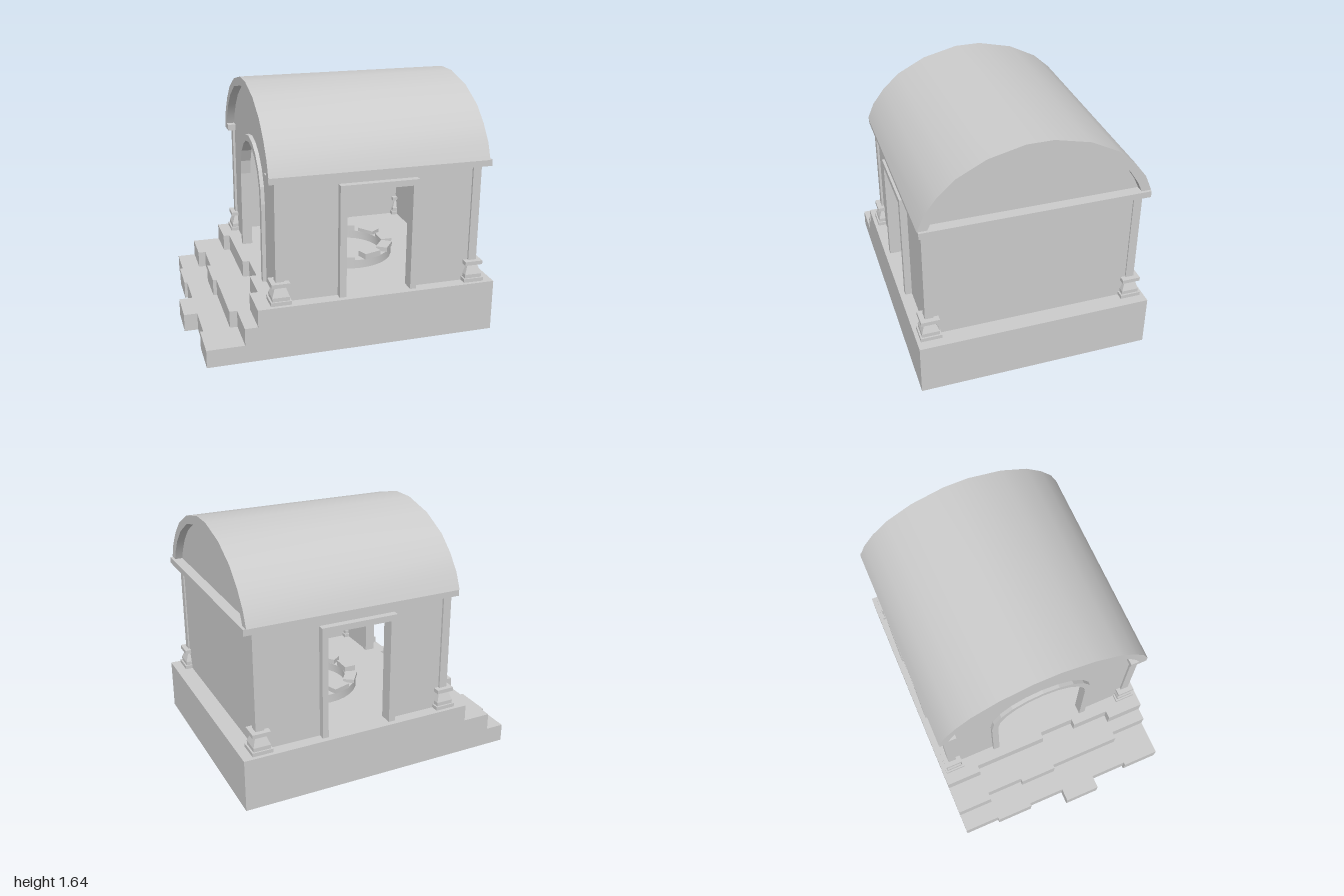
import * as THREE from 'three';
import { toCreasedNormals } from 'three/addons/utils/BufferGeometryUtils.js';

const FLOOR = 0.35, EAVES = 1.185, CX = 0.212; // CX: middle of the building along x
const mat = new THREE.MeshStandardMaterial({ color: 0xcccccc, side: THREE.DoubleSide });

function add(parent, name, geometry, x = 0, y = 0, z = 0) {
  const mesh = new THREE.Mesh(geometry, mat);
  mesh.name = name;
  mesh.position.set(x, y, z);
  parent.add(mesh);
  return mesh;
}

// Box given by its limits on each axis
function block(parent, name, x0, x1, y0, y1, z0, z1) {
  return add(parent, name, new THREE.BoxGeometry(x1 - x0, y1 - y0, z1 - z0),
    (x0 + x1) / 2, (y0 + y1) / 2, (z0 + z1) / 2);
}

const polygon = pts => new THREE.Shape(pts.map(p => new THREE.Vector2(...p)));
const extrude = (shape, depth) =>
  new THREE.ExtrudeGeometry(shape, { depth, bevelEnabled: false, curveSegments: 12 });
// Shape drawn in the z-y plane, extruded along x
const extrudeX = (shape, depth) => extrude(shape, depth).rotateY(Math.PI / 2);

// Hollow platform, open underneath, with uneven steps along its -x side
function platformGeometry() {
  const zs = [-0.77, -0.52, -0.26, 0, 0.25, 0.51, 0.77];
  const heights = [0, 0.12, 0.235, FLOOR];
  const edges = [
    [-0.91, -0.93, -0.91, -1, -0.91, -0.93],
    [-0.785, -0.735, -0.76, -0.735, -0.735, -0.685],
    [-0.59, -0.545, -0.545, -0.5, -0.545, -0.6],
    [1, 1, 1, 1, 1, 1],
  ];
  const pos = [];
  const quad = (a, b, c, d) => pos.push(...a, ...b, ...c, ...a, ...c, ...d);
  for (let k = 0; k < 3; k++) {
    const y0 = heights[k], y1 = heights[k + 1];
    const outline = [[1, zs[0]]];
    edges[k].forEach((x, i) => {
      outline.push([x, zs[i]], [x, zs[i + 1]]);
      // Tread
      const xb = edges[k + 1][i];
      quad([x, y1, zs[i]], [x, y1, zs[i + 1]], [xb, y1, zs[i + 1]], [xb, y1, zs[i]]);
    });
    outline.push([1, zs[6]]);
    // Risers and outer walls
    outline.forEach(([x, z], i) => {
      const [u, w] = outline[(i + 1) % outline.length];
      if (x !== u || z !== w) quad([x, y0, z], [u, y0, w], [u, y1, w], [x, y1, z]);
    });
  }
  const g = new THREE.BufferGeometry();
  g.setAttribute('position', new THREE.Float32BufferAttribute(pos, 3));
  g.computeVertexNormals();
  return g;
}

// Outline of an upright opening with a round head
function archPath(r, spring, bottom) {
  const pts = [[-r, bottom]];
  for (let i = 0; i <= 10; i++) {
    const a = Math.PI * (1 - i / 10);
    pts.push([r * Math.cos(a), spring + r * Math.sin(a)]);
  }
  pts.push([r, bottom]);
  return pts;
}

// Square column on a flared pedestal
function column(x, z) {
  const g = new THREE.Group();
  g.name = 'cornerColumn';
  block(g, 'plinth', -0.068, 0.068, FLOOR, 0.375, -0.068, 0.068);
  block(g, 'pedestalFoot', -0.057, 0.057, 0.375, 0.4, -0.057, 0.057);
  const flare = new THREE.CylinderGeometry(0.032 * Math.SQRT2, 0.057 * Math.SQRT2, 0.07, 4)
    .rotateY(Math.PI / 4).toNonIndexed();
  flare.computeVertexNormals();
  add(g, 'pedestalFlare', flare, 0, 0.435, 0);
  block(g, 'pedestalCap', -0.06, 0.06, 0.467, 0.493, -0.06, 0.06);
  block(g, 'shaft', -0.028, 0.028, 0.493, 1.145, -0.028, 0.028);
  g.position.set(x, 0, z);
  return g;
}

export function createModel() {
  const model = new THREE.Group();
  model.name = 'shrine';
  add(model, 'steppedPlatform', platformGeometry());

  // Long walls with door openings, frames, and eaves mouldings
  for (const s of [1, -1]) {
    const wall = polygon([[-0.455, FLOOR], [-0.015, FLOOR], [-0.015, 1.06], [0.42, 1.06],
      [0.42, FLOOR], [0.88, FLOOR], [0.88, EAVES], [-0.455, EAVES]]);
    add(model, 'sideWall', extrude(wall, 0.04), 0, 0, s > 0 ? 0.65 : -0.69);
    const frame = polygon([[-0.06, FLOOR], [-0.015, FLOOR], [-0.015, 1.06], [0.42, 1.06],
      [0.42, FLOOR], [0.46, FLOOR], [0.46, 1.1], [-0.06, 1.1]]);
    add(model, 'doorFrame', extrude(frame, 0.09), 0, 0, s > 0 ? 0.645 : -0.735);
    const band = (z0, z1) => s > 0 ? [z0, z1] : [-z1, -z0];
    block(model, 'eavesMoulding', -0.51, 0.955, 1.143, EAVES, ...band(0.65, 0.73));
    block(model, 'mouldingReturn', -0.51, -0.4, 1.143, EAVES, ...band(0.615, 0.65));
    for (const x of [-0.443, 0.867]) model.add(column(x, s * 0.677));
  }
  block(model, 'endMoulding', 0.86, 0.955, 1.143, EAVES, -0.65, 0.65);

  // Barrel vault
  const mirror = half => [...half, ...half.slice().reverse().map(([z, y]) => [-z, y])];
  const outer = mirror([[0.735, EAVES], [0.69, 1.29], [0.61, 1.395], [0.5, 1.495],
    [0.315, 1.59], [0.085, 1.645]]);
  const inner = mirror([[0.672, EAVES], [0.64, 1.255], [0.58, 1.345], [0.48, 1.44],
    [0.315, 1.535], [0.08, 1.585]]);
  const vault = extrudeX(polygon([...outer, ...inner.slice().reverse()]), 1.447);
  add(model, 'vaultedRoof', toCreasedNormals(vault, 0.6), -0.51);

  // End walls rising into the vault
  const endOutline = [[0.69, FLOOR], [0.69, EAVES], ...inner, [-0.69, EAVES], [-0.69, FLOOR]];
  add(model, 'closedEndWall', extrudeX(polygon(endOutline), 0.04), 0.845);
  const opening = archPath(0.32, 0.895, FLOOR);
  add(model, 'archedEndWall', extrudeX(polygon([...endOutline, ...opening]), 0.04), -0.455);
  const archFrame = polygon([...archPath(0.365, 0.895, FLOOR), ...opening.slice().reverse()]);
  add(model, 'archFrame', extrudeX(archFrame, 0.07), -0.48);

  // Round hearth with a ring of loose stones
  const hearth = [[0.25, 0], [0.325, 0], [0.325, 0.06], [0.25, 0.06], [0.25, 0]];
  const ring = new THREE.LatheGeometry(hearth.map(p => new THREE.Vector2(...p)), 32);
  add(model, 'hearthRing', toCreasedNormals(ring, 0.6), CX, FLOOR, 0);
  for (let i = 0; i < 10; i++) {
    const a = (i / 10) * Math.PI * 2, h = 0.025 + 0.015 * ((i * 7) % 3) / 2;
    const stone = add(model, 'hearthStone', new THREE.BoxGeometry(0.08, h, 0.13),
      CX + 0.287 * Math.cos(a), FLOOR + 0.06 + h / 2, 0.287 * Math.sin(a));
    stone.rotation.y = -a;
  }
  return model;
}
